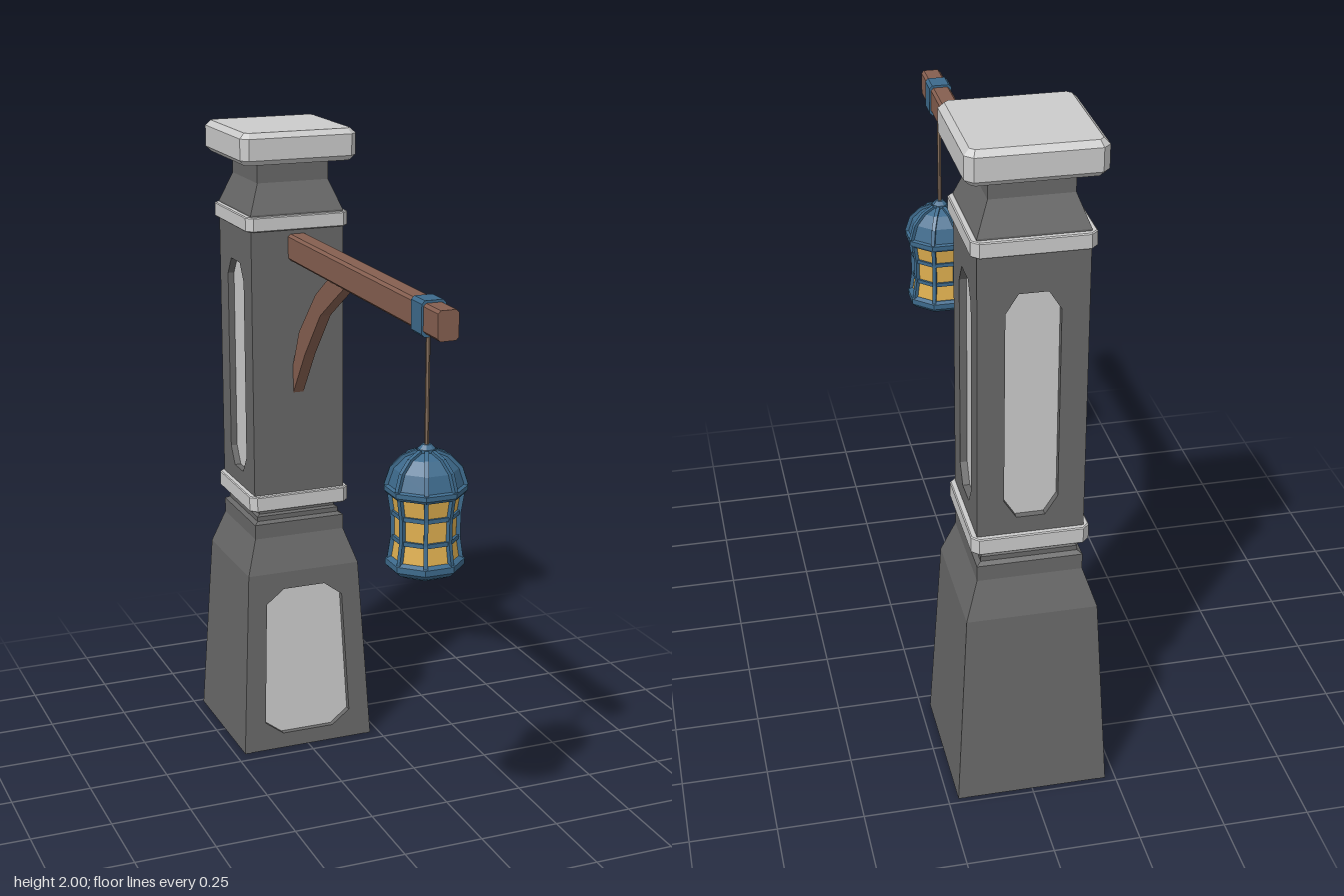
import * as THREE from 'three';

const mat = (color) => new THREE.MeshStandardMaterial({ color, flatShading: true });

export function createModel() {
  const model = new THREE.Group();
  const lightStone = mat(0xcccccc), darkStone = mat(0x686868);
  const wood = mat(0x855f50), metal = mat(0x3d6a8c), glass = mat(0xe0b050), cord = mat(0x806a58);

  const add = (parent, name, geo, material, x = 0, y = 0, z = 0) => {
    const m = new THREE.Mesh(geo, material);
    m.name = name;
    m.position.set(x, y, z);
    parent.add(m);
    return m;
  };

  // Eight-sided panel outline: bottom and top half-widths, corner cuts cx, cy
  const octagon = (wb, wt, y0, y1, cx, cy) => [
    [-wb + cx, y0], [wb - cx, y0], [wb, y0 + cy], [wt, y1 - cy],
    [wt - cx, y1], [-wt + cx, y1], [-wt, y1 - cy], [-wb, y0 + cy],
  ].map(([x, y]) => new THREE.Vector2(x, y));
  const cutSquare = (w, h, c) => new THREE.Shape(octagon(w, w, -h, h, c, c));

  // Stone post
  const post = new THREE.Group();
  post.name = 'post';
  post.position.z = -0.514;
  model.add(post);

  // Four leaning wall slabs, some with a sunken light panel
  const depth = 0.02;
  const walls = (name, hb, ht, y0, y1, hole, openSides) => {
    const length = Math.hypot(y1 - y0, hb - ht);
    for (let i = 0; i < 4; i++) {
      const side = new THREE.Group();
      side.name = name;
      side.rotation.y = i * Math.PI / 2;
      const lean = new THREE.Group();
      lean.position.set(0, y0, hb);
      lean.rotation.x = -Math.atan2(hb - ht, y1 - y0);
      side.add(lean);
      post.add(side);
      const shape = new THREE.Shape([[-hb, 0], [hb, 0], [ht, length], [-ht, length]]
        .map(([x, y]) => new THREE.Vector2(x, y)));
      if (openSides.includes(i)) {
        shape.holes.push(new THREE.Path([...hole].reverse()));
        add(lean, name + 'Panel', new THREE.ShapeGeometry(new THREE.Shape(hole)), lightStone, 0, 0, -depth);
      }
      add(lean, name + 'Wall', new THREE.ExtrudeGeometry(shape, { depth, bevelEnabled: false }), darkStone, 0, 0, -depth);
    }
  };
  walls('base', 0.22, 0.187, 0, 0.6, octagon(0.146, 0.129, 0.05, 0.545, 0.06, 0.045), [0]);
  walls('shaft', 0.15, 0.15, 0.84, 1.72, octagon(0.075, 0.075, 0.065, 0.745, 0.035, 0.055), [1, 2, 3]);

  // Square turned sections from [half-width, y] points
  const squareLathe = (name, pts) => add(post, name, new THREE.LatheGeometry(
    pts.map(([w, y]) => new THREE.Vector2(w * Math.SQRT2, y)), 4, Math.PI / 4), darkStone);
  squareLathe('baseFloor', [[0, 0], [0.22, 0]]);
  squareLathe('shoulder', [[0.187, 0.6], [0.15, 0.71], [0.15, 0.757], [0.137, 0.765],
    [0.137, 0.78], [0.127, 0.785], [0.127, 0.81]]);
  squareLathe('topNeck', [[0.15, 1.74], [0.15, 1.75], [0.115, 1.84], [0.115, 1.91]]);

  // Light bands and cap slab
  const slab = (name, half, y0, y1, cut, bevel) => {
    const geo = new THREE.ExtrudeGeometry(cutSquare(half - bevel, half - bevel, cut), {
      depth: y1 - y0 - 2 * bevel, bevelSize: bevel, bevelThickness: bevel, bevelSegments: 1,
    });
    geo.rotateX(-Math.PI / 2);
    add(post, name, geo, lightStone, 0, y0 + bevel, 0);
  };
  slab('lowerBand', 0.166, 0.805, 0.855, 0.018, 0.003);
  slab('upperBand', 0.166, 1.7, 1.745, 0.018, 0.003);
  slab('cap', 0.186, 1.903, 2.0, 0.012, 0.016);

  // Wooden arm with its curved brace
  const alongZ = (shape, length) => new THREE.ExtrudeGeometry(shape, { depth: length, bevelEnabled: false });
  add(model, 'arm', alongZ(cutSquare(0.03, 0.041, 0.008), 1.105), wood, 0, 1.644, -0.37);
  const brace = new THREE.Shape([
    [0.07, 1.608], [-0.03, 1.545], [-0.13, 1.48], [-0.26, 1.33], [-0.366, 1.18],
    [-0.366, 1.27], [-0.31, 1.39], [-0.17, 1.535], [-0.06, 1.608],
  ].map(([z, y]) => new THREE.Vector2(-z, y)));
  const braceGeo = alongZ(brace, 0.034).translate(0, 0, -0.017).rotateY(Math.PI / 2);
  add(model, 'brace', braceGeo, wood);
  add(model, 'collar', alongZ(cutSquare(0.035, 0.049, 0.009), 0.068), metal, 0, 1.643, 0.576);

  // Hanging lantern
  const lantern = new THREE.Group();
  lantern.name = 'lantern';
  lantern.position.z = 0.61;
  lantern.scale.x = 1.04;
  model.add(lantern);
  const turned = (name, pts, material) => add(lantern, name, new THREE.LatheGeometry(
    pts.map(([r, y]) => new THREE.Vector2(r, y)), 8, Math.PI / 8), material);

  add(lantern, 'cord', new THREE.CylinderGeometry(0.006, 0.006, 0.33, 6), cord, 0, 1.445, 0);
  const body = [[0.096, 0.96], [0.086, 1.03], [0.087, 1.1], [0.097, 1.165]];
  const dome = [[0.104, 1.18], [0.09, 1.225], [0.06, 1.257], [0.025, 1.272]];
  turned('glass', body.map(([r, y]) => [r - 0.004, y]), glass);
  turned('roof', [[0, 1.155], [0.104, 1.155], [0.11, 1.163], [0.11, 1.176],
    ...dome.map(([r, y]) => [r - 0.003, y]), [0, 1.275]], metal);
  turned('finial', [[0, 1.265], [0.024, 1.268], [0.024, 1.28], [0.012, 1.292], [0, 1.292]], metal);
  turned('foot', [[0, 0.922], [0.06, 0.922], [0.092, 0.937], [0.105, 0.95],
    [0.105, 0.967], [0.094, 0.974], [0, 0.974]], metal);

  // Cross rings around the glass
  for (const [r, y] of body.slice(1, 3)) {
    turned('ring', [[r - 0.008, y - 0.006], [r + 0.004, y - 0.006],
      [r + 0.004, y + 0.006], [r - 0.008, y + 0.006]], metal);
  }

  // Upright bars and roof ribs at the eight corners
  const up = new THREE.Vector3(0, 1, 0);
  for (let i = 0; i < 8; i++) {
    const angle = Math.PI / 8 + i * Math.PI / 4;
    for (const [name, path] of [['bar', body], ['roofRib', dome]]) {
      const pts = path.map(([r, y]) => new THREE.Vector3(r * Math.sin(angle), y, r * Math.cos(angle)));
      for (let j = 1; j < pts.length; j++) {
        const dir = pts[j].clone().sub(pts[j - 1]);
        const mid = pts[j].clone().add(pts[j - 1]).multiplyScalar(0.5);
        const bar = add(lantern, name, new THREE.CylinderGeometry(0.008, 0.008, dir.length() + 0.004, 4), metal, mid.x, mid.y, mid.z);
        bar.quaternion.setFromUnitVectors(up, dir.normalize());
        bar.quaternion.multiply(new THREE.Quaternion().setFromAxisAngle(up, angle + Math.PI / 4));
      }
    }
  }

  return model;
}
